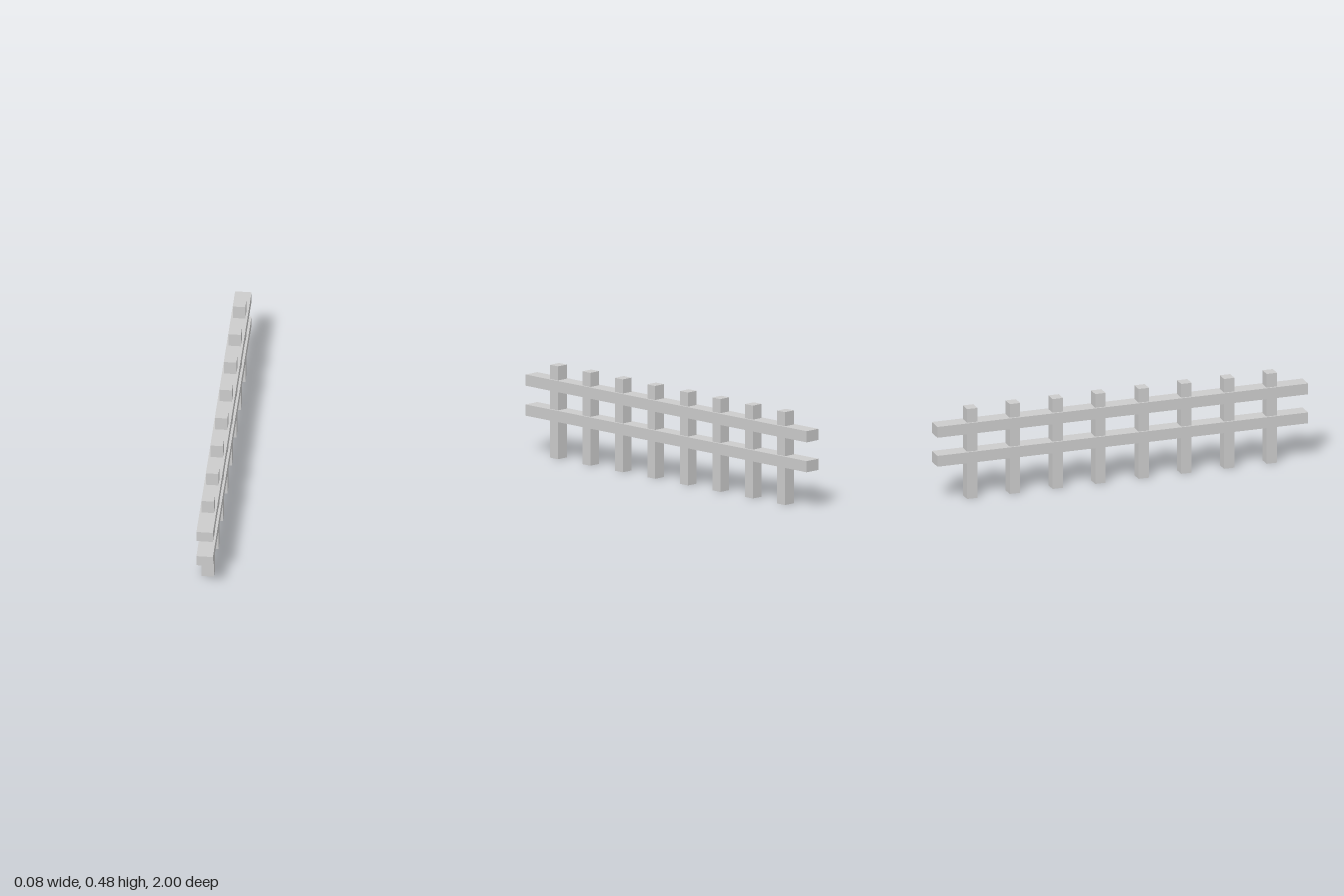
import * as THREE from 'three';

export function createModel() {
  const group = new THREE.Group();
  const paint = new THREE.MeshStandardMaterial({ color: 0xcccccc });
  paint.name = 'light grey';

  function addBox(name, w, h, d, y, z) {
    const mesh = new THREE.Mesh(new THREE.BoxGeometry(w, h, d), paint);
    mesh.name = name;
    mesh.position.set(0, y, z);
    group.add(mesh);
  }

  // Two long horizontal rails
  addBox('lowerRail', 0.084, 0.058, 2, 0.224, 0);
  addBox('upperRail', 0.084, 0.058, 2, 0.379, 0);

  // Evenly spaced square posts, mirrored front to back
  [0.117, 0.347, 0.578, 0.808].forEach((z, i) => {
    addBox(`frontPost${i + 1}`, 0.063, 0.481, 0.056, 0.2405, z);
    addBox(`backPost${i + 1}`, 0.063, 0.481, 0.056, 0.2405, -z);
  });

  return group;
}
